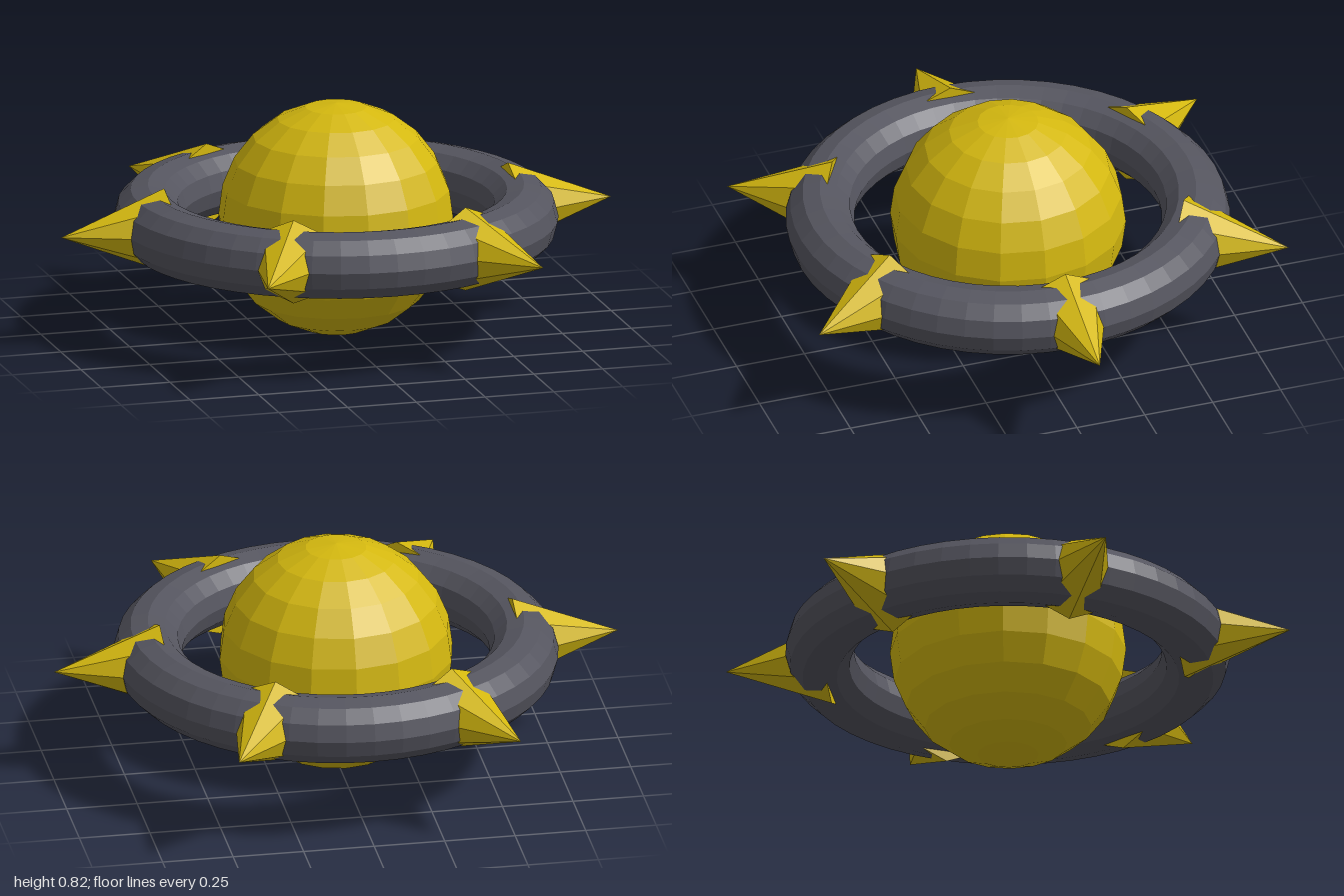
import * as THREE from 'three';

export function createModel() {
  const model = new THREE.Group();
  const gold = new THREE.MeshStandardMaterial({ color: 0xd4b80f, flatShading: true });
  gold.name = 'golden yellow';
  const grey = new THREE.MeshStandardMaterial({ color: 0x55555f, flatShading: true });
  grey.name = 'slate grey';
  const centreY = 0.4125;

  const add = (name, geometry, material) => {
    const mesh = new THREE.Mesh(geometry, material);
    mesh.name = name;
    mesh.position.y = centreY;
    model.add(mesh);
    return mesh;
  };

  // faceted ball floating in the middle
  add('core', new THREE.SphereGeometry(0.4125, 16, 12), gold);

  // horizontal ring around the ball
  add('ring', new THREE.TorusGeometry(0.657, 0.12, 12, 48).rotateX(Math.PI / 2), grey);

  // six spikes pointing outwards, their bases sunk in the ring
  const inner = 0.625, outer = 1;
  const spike = new THREE.ConeGeometry(0.15, outer - inner, 8)
    .rotateZ(-Math.PI / 2)
    .translate((inner + outer) / 2, 0, 0);
  for (let i = 0; i < 6; i++) {
    add('spike' + (i + 1), spike, gold).rotation.y = (i * Math.PI) / 3;
  }
  return model;
}
